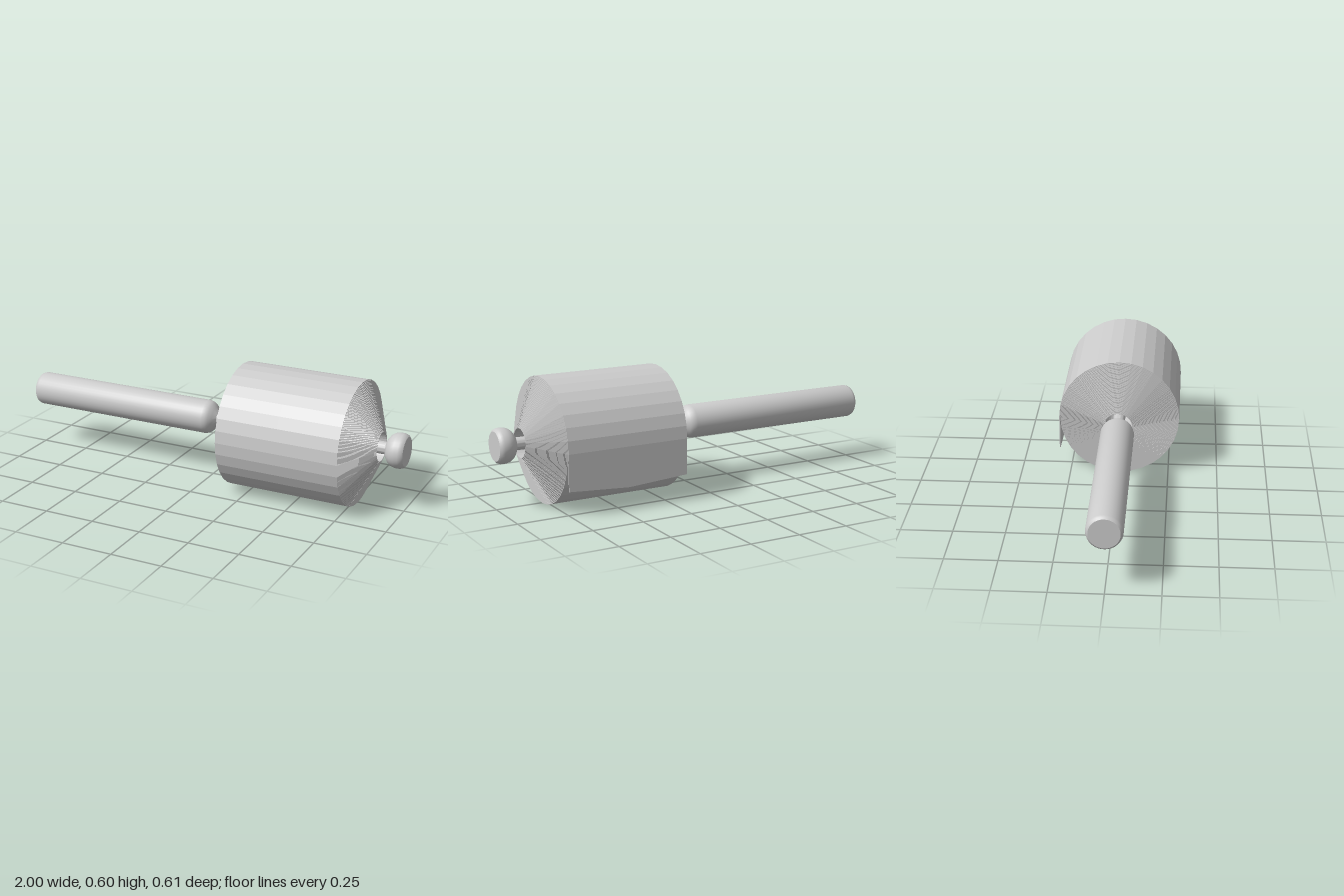
import * as THREE from 'three';
import { toCreasedNormals } from 'three/addons/utils/BufferGeometryUtils.js';

const AXIS_Y = 0.303;     // height of the rod axis
const ROLL_X = 0.465;     // middle of the roll along the rod
const SIDES = 32;         // steps per turn of the sheet
const R_IN = 0.07, R_OUT = 0.305, PITCH = 0.0057, THICK = 0.0047;

// Half width of the sheet: inner turns stick out further than outer ones
const halfWidth = (r) => 0.305 + (R_OUT - r) * 0.46;

// One section across the sheet: outer edge left to right, then inner edge back
function section(r, a, drop = 0, point = 0) {
  const h = halfWidth(r);
  const at = (x, radius, extra) => [
    x, radius * Math.sin(a) - drop - extra, radius * Math.cos(a)];
  return [
    at(-h, r, 0), at(0, r, point), at(h, r, 0),
    at(h, r - THICK, 0), at(0, r - THICK, point), at(-h, r - THICK, 0),
  ];
}

// Rolled sheet: a spiral that ends at the back with a straight hanging flap
function sheetGeometry() {
  const turns = Math.round((R_OUT - R_IN) / PITCH);
  const steps = turns * SIDES;
  const rings = [];
  for (let i = 0; i <= steps; i++) {
    const back = (steps - i) / SIDES;
    rings.push(section(R_OUT - back * PITCH, Math.PI - back * Math.PI * 2));
  }
  rings.push(section(R_OUT, Math.PI, 0.173, 0.02)); // flap end, pointed in the middle

  const index = [];
  const quad = (a, b, c, d) => index.push(a, b, c, a, c, d);
  for (let i = 0; i < rings.length - 1; i++) {
    for (let j = 0; j < 6; j++) {
      const k = (j + 1) % 6;
      quad(i * 6 + j, i * 6 + k, i * 6 + 6 + k, i * 6 + 6 + j);
    }
  }
  // Close both ends of the sheet
  const e = (rings.length - 1) * 6;
  quad(e, e + 1, e + 4, e + 5);
  quad(e + 1, e + 2, e + 3, e + 4);
  quad(5, 4, 1, 0);
  quad(4, 3, 2, 1);

  const geo = new THREE.BufferGeometry();
  geo.setAttribute('position', new THREE.Float32BufferAttribute(rings.flat(2), 3));
  geo.setIndex(index);
  geo.computeVertexNormals();
  return geo;
}

// Turned part along x, from [x, radius] pairs
function turned(name, profile, material) {
  const pts = profile.map(([x, r]) => new THREE.Vector2(r, x));
  const geo = toCreasedNormals(new THREE.LatheGeometry(pts, 32), 0.6);
  geo.rotateZ(-Math.PI / 2);
  const mesh = new THREE.Mesh(geo, material);
  mesh.name = name;
  return mesh;
}

export function createModel() {
  const group = new THREE.Group();
  group.name = 'scroll';
  const smooth = new THREE.MeshStandardMaterial({ color: 0xcccccc });
  const flat = new THREE.MeshStandardMaterial({ color: 0xcccccc, flatShading: true });

  // Long handle with a softened end and a shoulder tapering to the core
  const handle = turned('handle', [
    [-1, 0], [-1, 0.071], [-0.993, 0.079], [-0.98, 0.083], [-0.03, 0.083],
    [-0.012, 0.079], [0.002, 0.069], [0.014, 0.052], [0.03, 0.03], [0.03, 0],
  ], smooth);

  // Thin core running through the roll
  const core = turned('core', [[0.02, 0.03], [0.915, 0.03]], smooth);

  // Rounded knob on the far end
  const knob = turned('knob', [
    [0.902, 0], [0.902, 0.03], [0.908, 0.05], [0.92, 0.067], [0.937, 0.079],
    [0.955, 0.084], [0.978, 0.084], [0.992, 0.079], [1, 0.07], [1, 0],
  ], smooth);

  const sheet = new THREE.Mesh(sheetGeometry(), flat);
  sheet.name = 'rolledSheet';
  sheet.position.x = ROLL_X;

  group.add(handle, core, knob, sheet);
  group.children.forEach((part) => { part.position.y = AXIS_Y; });
  return group;
}
